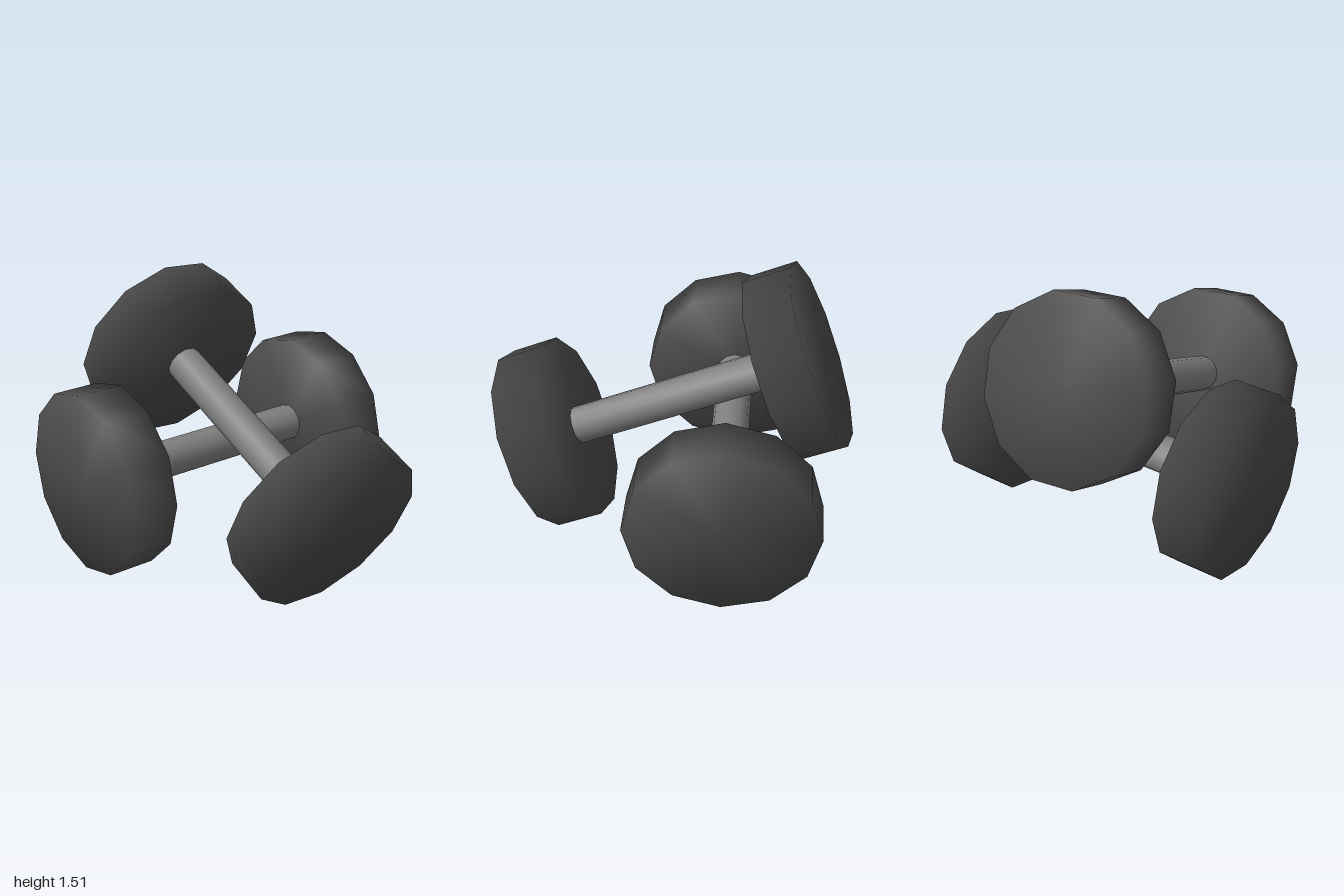
import * as THREE from 'three';
import { mergeVertices } from 'three/addons/utils/BufferGeometryUtils.js';

const SIDES = 12;
const WEIGHT = { radius: 0.49, width: 0.253, offset: 0.688 };
const HANDLE_RADIUS = 0.1;

const weightMaterial = new THREE.MeshStandardMaterial({ color: 0x4a4a4a });
const handleMaterial = new THREE.MeshStandardMaterial({ color: 0x808080 });

// Low-poly cylinder along x, smooth shaded across its rims
function smoothCylinder(radius, length) {
  const geometry = new THREE.CylinderGeometry(radius, radius, length, SIDES);
  geometry.deleteAttribute('normal');
  geometry.deleteAttribute('uv');
  geometry.rotateZ(-Math.PI / 2);
  const merged = mergeVertices(geometry, 1e-4);
  merged.computeVertexNormals();
  return merged;
}

// One dumbbell along its local x axis, centred on its origin
function createDumbbell(name) {
  const dumbbell = new THREE.Group();
  dumbbell.name = name;

  const gap = 2 * WEIGHT.offset - WEIGHT.width;
  const handle = new THREE.Mesh(smoothCylinder(HANDLE_RADIUS, gap), handleMaterial);
  handle.name = 'handle';
  dumbbell.add(handle);

  for (const side of [-1, 1]) {
    const weight = new THREE.Mesh(smoothCylinder(WEIGHT.radius, WEIGHT.width), weightMaterial);
    weight.name = side > 0 ? 'weightA' : 'weightB';
    weight.position.x = side * WEIGHT.offset;
    dumbbell.add(weight);
  }
  return dumbbell;
}

export function createModel() {
  const model = new THREE.Group();
  model.name = 'dumbbellPair';

  // Level dumbbell
  const lower = createDumbbell('lowerDumbbell');
  lower.position.set(0, 0.55, -0.213);
  lower.rotation.y = THREE.MathUtils.degToRad(25.2);
  model.add(lower);

  // Tilted dumbbell leaning across the first one
  const upper = createDumbbell('upperDumbbell');
  const axis = new THREE.Vector3(0.403, -0.381, 0.831).normalize();
  const up = new THREE.Vector3(0.016, 0.912, 0.41);
  up.addScaledVector(axis, -up.dot(axis)).normalize();
  const across = new THREE.Vector3().crossVectors(axis, up);
  upper.quaternion.setFromRotationMatrix(new THREE.Matrix4().makeBasis(axis, up, across));
  upper.position.set(0.123, 0.757, 0.055);
  model.add(upper);

  return model;
}
